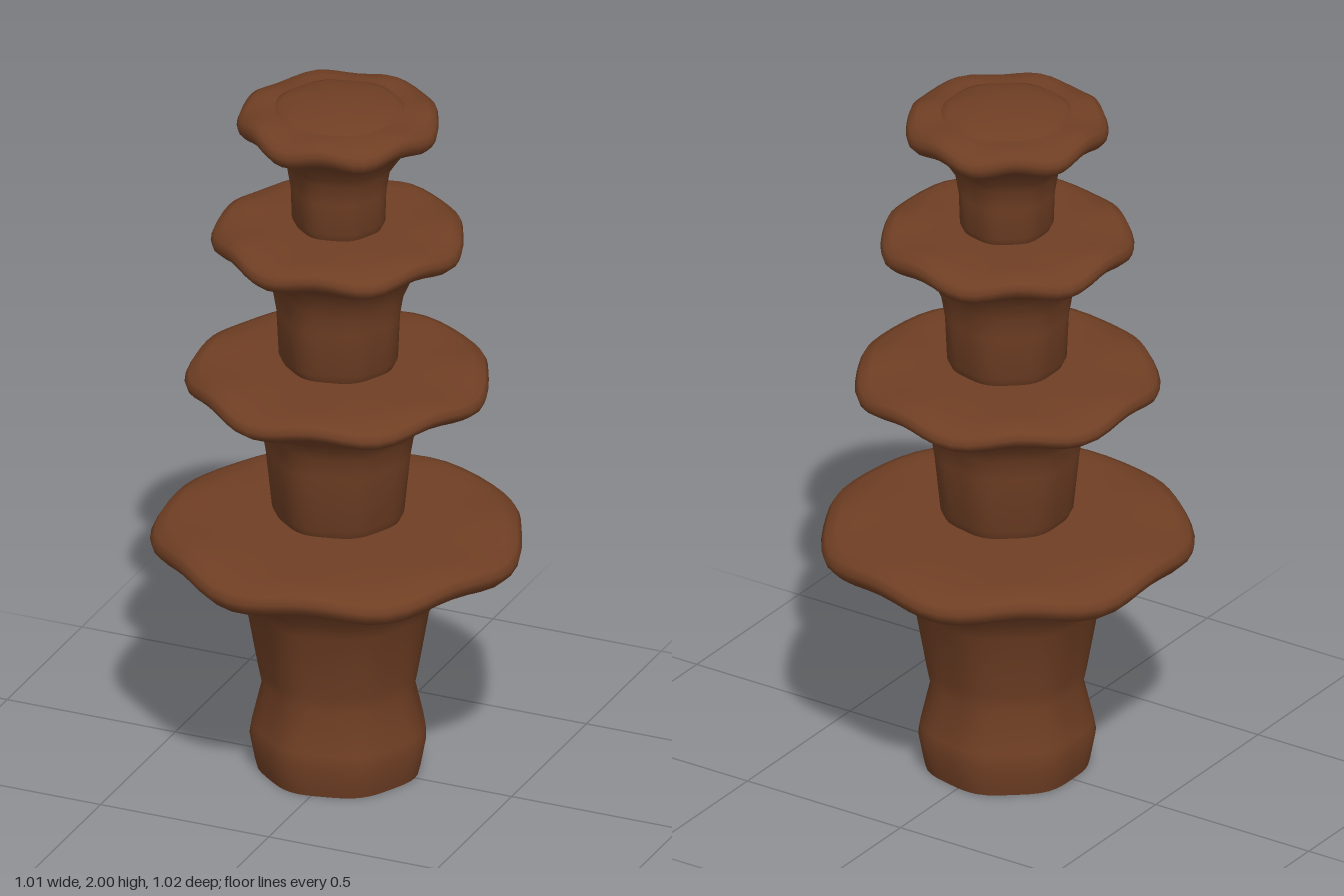
import * as THREE from 'three';
import { mergeVertices, toCreasedNormals } from 'three/addons/utils/BufferGeometryUtils.js';

const LOBES = 7;

// Lathe a [radius, height] profile, then ripple it into soft drooping lobes.
function rippledLathe(profile, rimRadius, wave) {
  const points = profile.map(([r, y]) => new THREE.Vector2(r, y));
  const geometry = new THREE.LatheGeometry(points, LOBES * 8);
  const p = geometry.attributes.position;
  for (let i = 0; i < p.count; i++) {
    const x = p.getX(i), z = p.getZ(i);
    const r = Math.hypot(x, z);
    const lobe = Math.cos(LOBES * Math.atan2(z, x));
    const swell = 1 + 0.02 * lobe;
    // Only the overhanging rim moves up and down
    const droop = wave * THREE.MathUtils.smoothstep(r / rimRadius, 0.6, 1);
    p.setXYZ(i, x * swell, p.getY(i) - droop * lobe, z * swell);
  }
  geometry.deleteAttribute('normal');
  geometry.deleteAttribute('uv');
  return toCreasedNormals(mergeVertices(geometry, 1e-5), 1.0);
}

export function createModel() {
  const model = new THREE.Group();
  model.name = 'tieredFountain';
  const brown = new THREE.MeshStandardMaterial({ color: 0x703f24 });
  brown.name = 'chocolateBrown';

  function add(name, profile, rimRadius, wave) {
    const mesh = new THREE.Mesh(rippledLathe(profile, rimRadius, wave), brown);
    mesh.name = name;
    mesh.position.x = -0.012;
    model.add(mesh);
  }

  // Base pedestal with the widest basin
  add('baseTier', [
    [0, 0], [0.22, 0], [0.225, 0.02], [0.24, 0.1], [0.235, 0.13], [0.207, 0.25], [0.217, 0.3],
    [0.25, 0.49], [0.275, 0.54], [0.325, 0.6], [0.37, 0.622], [0.43, 0.637], [0.48, 0.655],
    [0.5, 0.675], [0.505, 0.695], [0.493, 0.715], [0.46, 0.729], [0.4, 0.736],
    [0.3, 0.737], [0.2, 0.736], [0, 0.736],
  ], 0.505, 0.01);

  // Upper tiers share one flared stem and basin shape
  const tiers = [
    { name: 'secondTier', bottom: 0.757, foot: 0.168, neck: 0.207, neckY: 1.01, rim: 0.413, rimY: 1.165 },
    { name: 'thirdTier', bottom: 1.215, foot: 0.15, neck: 0.178, neckY: 1.43, rim: 0.343, rimY: 1.588 },
    { name: 'topTier', bottom: 1.625, foot: 0.115, neck: 0.14, neckY: 1.8, rim: 0.274, rimY: 1.935 },
  ];
  for (const t of tiers) {
    const at = f => t.neck + (t.rim - t.neck) * f;
    add(t.name, [
      [0, t.bottom], [t.foot, t.bottom], [t.foot + 0.012, t.bottom + 0.025],
      [t.neck - 0.01, t.neckY - 0.06], [t.neck, t.neckY],
      [at(0.14), t.rimY - 0.105], [at(0.33), t.rimY - 0.067],
      [at(0.6), t.rimY - 0.046], [at(0.86), t.rimY - 0.03],
      [at(0.97), t.rimY - 0.014], [at(1), t.rimY + 0.004], [at(0.95), t.rimY + 0.022],
      [at(0.8), t.rimY + 0.034], [at(0.5), t.rimY + 0.04], [t.neck, t.rimY + 0.04],
      [0, t.rimY + 0.04],
    ], t.rim, 0.01);
  }

  // Shallow dome welling up from the top basin
  add('topDome', [
    [0, 1.95], [0.17, 1.95], [0.19, 1.962], [0.185, 1.972], [0.16, 1.981],
    [0.12, 1.99], [0.06, 1.998], [0, 2],
  ], 0.19, 0.004);

  return model;
}
